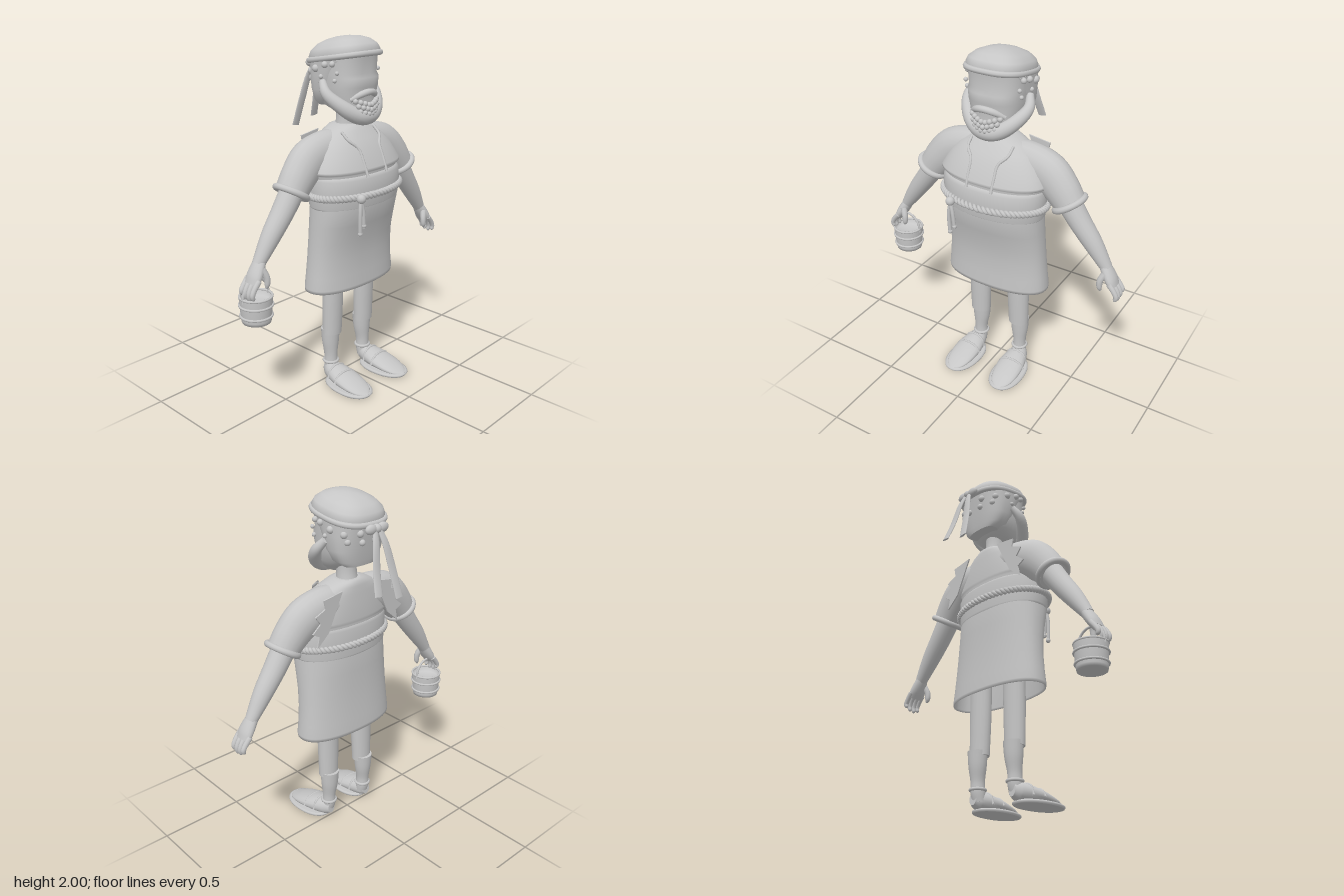
import * as THREE from 'three';

const V = (x, y, z) => new THREE.Vector3(x, y, z);
const X = V(1, 0, 0), Y = V(0, 1, 0), Z = V(0, 0, 1);

export function createModel() {
  const clay = new THREE.MeshStandardMaterial({ color: 0xc6c6c6, side: THREE.DoubleSide });
  clay.name = 'light grey';
  const root = new THREE.Group();
  const add = (name, geo, parent = root) => {
    const m = new THREE.Mesh(geo, clay);
    m.name = name;
    parent.add(m);
    return m;
  };

  // Skin rings of points into a surface, with optional flat caps
  function skin(rings, caps) {
    const n = rings[0].length, pos = [], idx = [];
    const push = r => r.forEach(p => pos.push(p.x, p.y, p.z));
    rings.forEach(push);
    for (let i = 0; i < rings.length - 1; i++) for (let j = 0; j < n; j++) {
      const k = (j + 1) % n, a = i * n + j, b = i * n + k, c = a + n, d = b + n;
      idx.push(a, b, d, a, d, c);
    }
    if (caps) [rings[0], rings[rings.length - 1]].forEach((r, e) => {
      const o = pos.length / 3, c = V(0, 0, 0);
      push(r);
      r.forEach(p => c.addScaledVector(p, 1 / n));
      pos.push(c.x, c.y, c.z);
      for (let j = 0; j < n; j++) {
        const k = (j + 1) % n;
        idx.push(o + n, o + (e ? j : k), o + (e ? k : j));
      }
    });
    const g = new THREE.BufferGeometry();
    g.setAttribute('position', new THREE.Float32BufferAttribute(pos, 3));
    g.setIndex(idx);
    g.computeVertexNormals();
    return g;
  }
  // One superellipse ring
  const ring = (c, u, v, a, b, n, p = 2) => Array.from({ length: n }, (_, j) => {
    const t = j / n * Math.PI * 2, f = w => Math.sign(w) * Math.abs(w) ** (2 / p);
    return c.clone().addScaledVector(u, a * f(Math.cos(t))).addScaledVector(v, b * f(Math.sin(t)));
  });
  // Horizontal sections: [y, half width, front z, back z]
  const loft = (rows, p = 2, caps = true) => skin(rows.map(([y, w, f, b]) =>
    ring(V(0, y, (f + b) / 2), X, V(0, 0, -1), w, (f - b) / 2, 48, p)), caps);
  // Smooth sweep: [x, y, z, radius along ref, radius across]
  function sweep(rows, ref = Z, sub = 5, n = 18) {
    const path = new THREE.CatmullRomCurve3(rows.map(r => V(r[0], r[1], r[2])), false, 'centripetal');
    const rad = new THREE.CatmullRomCurve3(rows.map((r, i) => V(r[3], r[4] ?? r[3], i)), false, 'centripetal');
    const N = (rows.length - 1) * sub, rings = [];
    for (let i = 0; i <= N; i++) {
      const t = path.getTangent(i / N), q = rad.getPoint(i / N);
      const u = ref.clone().addScaledVector(t, -ref.dot(t)).normalize();
      rings.push(ring(path.getPoint(i / N), u, t.clone().cross(u), q.x, q.y, n));
    }
    return skin(rings, true);
  }
  const tube = (pts, r, closed = false, seg = 40) => new THREE.TubeGeometry(
    new THREE.CatmullRomCurve3(pts.map(p => V(...p)), closed, 'centripetal'), seg, r, 8, closed);
  const ball = (name, x, y, z, r) => add(name, new THREE.SphereGeometry(r, 12, 8)).position.set(x, y, z);

  // Clothing on the trunk
  add('shirt', loft([[1.19, .30, .225, -.095], [1.29, .305, .22, -.095], [1.3, .325, .232, -.1], [1.315, .325, .23, -.1],
    [1.36, .30, .208, -.1], [1.41, .27, .185, -.097], [1.46, .225, .15, -.094], [1.5, .165, .115, -.09],
    [1.525, .1, .095, -.085], [1.532, .07, .075, -.07]], 2.2));
  add('sash', loft([[1.1, .298, .232, -.1], [1.11, .305, .24, -.104], [1.19, .312, .247, -.106], [1.265, .312, .243, -.104],
    [1.28, .3, .225, -.096]], 2.2));
  add('skirt', loft([[1.2, .293, .23, -.09], [1.1, .298, .236, -.1], [1.0, .3, .208, -.1], [.9, .303, .183, -.1],
    [.8, .308, .172, -.104], [.7, .317, .172, -.11], [.63, .325, .177, -.116], [.61, .323, .175, -.115],
    [.62, .312, .165, -.105], [.85, .295, .163, -.09]].reverse(), 2.3, false));

  // Twisted rope belt with hanging ends
  for (const k of [0, 1]) {
    const pts = [];
    for (let i = 0; i < 288; i++) {
      const a = i / 288 * Math.PI * 2, w = a * 36 + k * Math.PI, r = .01 * Math.cos(w);
      pts.push([(.318 + r) * Math.cos(a), 1.175 + .01 * Math.sin(w), .072 + (.186 + r) * Math.sin(a)]);
    }
    add('ropeStrand', tube(pts, .011, true, 576));
    add('ropeEnd', tube([[-.165, 1.17, .265], [-.175 + k * .025, 1.1, .27], [-.172 + k * .03, .97 + k * .04, .268]], .011));
    ball('ropeTip', -.172 + k * .03, .98 + k * .04, .268, .014);
  }
  ball('ropeKnot', -.165, 1.175, .268, .026);

  // Neck and head
  add('neck', sweep([[0, 1.48, 0, .065], [0, 1.57, .005, .056], [0, 1.7, .005, .06]], X));
  add('face', loft([[1.56, .05, .15, .04], [1.6, .1, .155, -.01], [1.64, .135, .155, -.1], [1.7, .15, .155, -.13],
    [1.74, .155, .165, -.14], [1.79, .158, .17, -.15], [1.81, .16, .152, -.155], [1.9, .163, .16, -.17]], 2.6));
  add('hair', loft([[1.63, .1, -.045, -.14], [1.66, .14, .01, -.148], [1.72, .162, .045, -.158], [1.8, .17, .085, -.17],
    [1.88, .173, .14, -.18]], 2.6));
  add('beard', sweep([[-.165, 1.77, -.015, .02], [-.185, 1.71, .035, .03], [-.13, 1.635, .105, .04], [-.06, 1.59, .14, .044],
    [0, 1.58, .148, .046], [.06, 1.59, .14, .044], [.13, 1.635, .105, .04], [.185, 1.71, .035, .03],
    [.165, 1.77, -.015, .02]], Z, 6));
  add('moustache', sweep([[-.1, 1.675, .125, .012], [-.05, 1.705, .16, .018], [0, 1.715, .172, .018],
    [.05, 1.705, .16, .018], [.1, 1.675, .125, .012]], Z));
  for (let r = 0; r < 3; r++) for (let i = 0; i < 8 - r; i++) {
    const x = (i - (7 - r) / 2) * .024;
    ball('beardCurl', x, 1.645 - r * .024 + Math.abs(x) * .3, .186 - x * x * 4.5 - (r - 1) ** 2 * .004, .015);
  }
  for (const s of [-1, 1]) {
    [[.06, 1.865, .168, .016], [.012, 1.86, .174, .018], [-.06, 1.835, .168, .021], [-.125, 1.815, .135, .021],
      [-.135, 1.775, .12, .019], [-.165, 1.815, .06, .021], [-.165, 1.765, .045, .018], [.09, 1.82, .162, .012],
      [.075, 1.78, .165, .012], [-.02, 1.795, .17, .013]]
      .forEach(([z, y, x, r]) => ball('hairCurl', s * x, y, z, r));
  }

  // Tilted cap with rolled band
  const cap = new THREE.Group();
  cap.name = 'cap';
  cap.position.set(0, 1.889, -.008);
  cap.rotation.x = -.16;
  root.add(cap);
  add('capCrown', loft([[-.01, .165, .18, -.18], [.02, .172, .19, -.185], [.05, .16, .178, -.17], [.08, .125, .145, -.135],
    [.1, .075, .095, -.08], [.108, .03, .04, -.03], [.109, .005, .005, -.005]], 2.6), cap);
  const rim = ring(V(0, 0, 0), X, Z, .166, .186, 32, 2.7).map(p => [p.x, p.y, p.z]);
  add('capBand', tube(rim, .016, true, 96), cap);
  ball('capButton', 0, 1.994, -.005, .006);

  // Knot and ribbons behind the cap
  ball('bandKnot', 0, 1.845, -.225, .025);
  for (const s of [-1, 1]) {
    const loop = add('bandLoop', new THREE.SphereGeometry(.03, 14, 10));
    loop.scale.set(1.3, .9, .65);
    loop.position.set(s * .04, 1.845, -.225);
    add('ribbon', sweep([[s * .012, 1.85, -.225, .014, .008], [s * .032, 1.77, -.255, .022, .008],
      [s * .055, 1.64, -.285, .026, .007], [s * .075, 1.5 + s * .02, -.325, .026, .006]], X));
  }

  for (const s of [-1, 1]) {
    // Lapel cord and torn armhole edge
    add('lapelCord', tube([[s * .13, 1.505, .092], [s * .125, 1.465, .138], [s * .085, 1.42, .174], [s * .08, 1.35, .208],
      [s * .078, 1.275, .238]], .008));
    const tear = new THREE.Shape([[.12, 1.5], [.25, 1.48], [.24, 1.43], [.31, 1.4], [.275, 1.355], [.33, 1.31],
      [.285, 1.285], [.3, 1.22], [.22, 1.29]].map(([x, y]) => new THREE.Vector2(s * x, y)));
    add('tornEdge', new THREE.ExtrudeGeometry(tear, { depth: .008, bevelEnabled: false })).position.z = -.1;

    // Sleeve with rolled cuff
    add('sleeve', sweep([[s * .07, 1.425, .005, .085, .085], [s * .18, 1.405, .005, .09, .108],
      [s * .3, 1.365, .008, .092, .115], [s * .38, 1.295, .015, .09, .105], [s * .445, 1.215, .02, .085, .09]]));
    const cuff = add('cuff', new THREE.TorusGeometry(.088, .018, 10, 36));
    cuff.position.set(s * .44, 1.222, .022);
    cuff.quaternion.setFromUnitVectors(Z, V(s * .52, -.85, 0).normalize());

    // Forearm and hand
    add('forearm', sweep([[s * .41, 1.26, .02, .068, .07], [s * .5, 1.13, .018, .063, .062],
      [s * .59, 1.01, .015, .053, .053], [s * .675, .885, .012, .036, .033]]));
    add('palm', sweep([[s * .66, .905, .012, .035, .03], [s * .685, .865, .015, .046, .032],
      [s * .71, .825, .017, .053, .03], [s * .73, .79, .017, .05, .022]]));
    for (let f = 0; f < 4; f++) {
      const z = .06 - f * .029, d = [.01, 0, .004, .02][f];
      add('finger', sweep([[s * .715, .815, z, .016], [s * .748, .775, z, .015], [s * .762, .74 + d / 2, z, .014],
        [s * .757, .715 + d, z, .011], [s * .755, .707 + d, z, .004]], Z, 4, 10));
    }
    add('thumb', sweep([[s * .68, .865, .045, .02], [s * .662, .82, .06, .018], [s * .662, .78, .062, .015],
      [s * .668, .76, .06, .006]], Z, 4, 10));

    // Leg, stocking and ankle tie
    add('leg', sweep([[s * .132, .8, .022, .056, .068], [s * .132, .55, .022, .054, .068], [s * .135, .3, .018, .05, .062]]));
    add('stocking', sweep([[s * .137, .325, .005, .055, .057], [s * .138, .24, .006, .049, .051],
      [s * .14, .16, .01, .04, .039], [s * .14, .1, .012, .04, .04], [s * .14, .05, .02, .036, .038]]));
    const tie = add('ankleTie', new THREE.TorusGeometry(.041, .009, 8, 28));
    tie.rotation.x = Math.PI / 2;
    tie.position.set(s * .14, .115, .011);

    // Shoe with sole and straps
    const shoe = new THREE.Group();
    shoe.name = 'shoe';
    shoe.position.x = s * .148;
    shoe.rotation.y = s * .05;
    root.add(shoe);
    add('sole', loft([[0, .095, .33, .015], [.006, .1, .335, .01], [.014, .1, .335, .01], [.019, .092, .325, .018]], 2.2), shoe);
    add('shoeUpper', sweep([[0, .065, -.018, .025, .035], [0, .062, .02, .05, .05], [0, .056, .08, .07, .05],
      [0, .047, .15, .082, .04], [0, .033, .23, .077, .027], [0, .02, .29, .055, .014], [0, .014, .328, .012, .004]], X), shoe);
    for (const [z, w, h] of [[.07, .068, .108], [.14, .082, .09]])
      add('strap', tube([[-w, .04, z], [-w * .7, h * .84, z], [0, h, z], [w * .7, h * .84, z], [w, .04, z]], .007), shoe);
  }

  // Bucket with hoops and handle
  const bucket = new THREE.Group();
  bucket.name = 'bucket';
  bucket.position.set(-.69, 0, 0);
  root.add(bucket);
  add('bucketWall', new THREE.LatheGeometry([[0, .562], [.078, .562], [.082, .58], [.091, .71], [.083, .712], [.078, .675],
    [0, .675]].map(p => new THREE.Vector2(...p)), 32), bucket);
  for (const [y, r] of [[.6, .085], [.66, .089], [.708, .087]]) {
    const hoop = add('hoop', new THREE.TorusGeometry(r, .007, 8, 36), bucket);
    hoop.rotation.x = Math.PI / 2;
    hoop.position.y = y;
  }
  add('handle', tube([[-.088, .69, 0], [-.08, .745, 0], [-.045, .79, 0], [0, .803, 0], [.045, .79, 0], [.08, .745, 0],
    [.088, .69, 0]], .007), bucket);
  return root;
}
